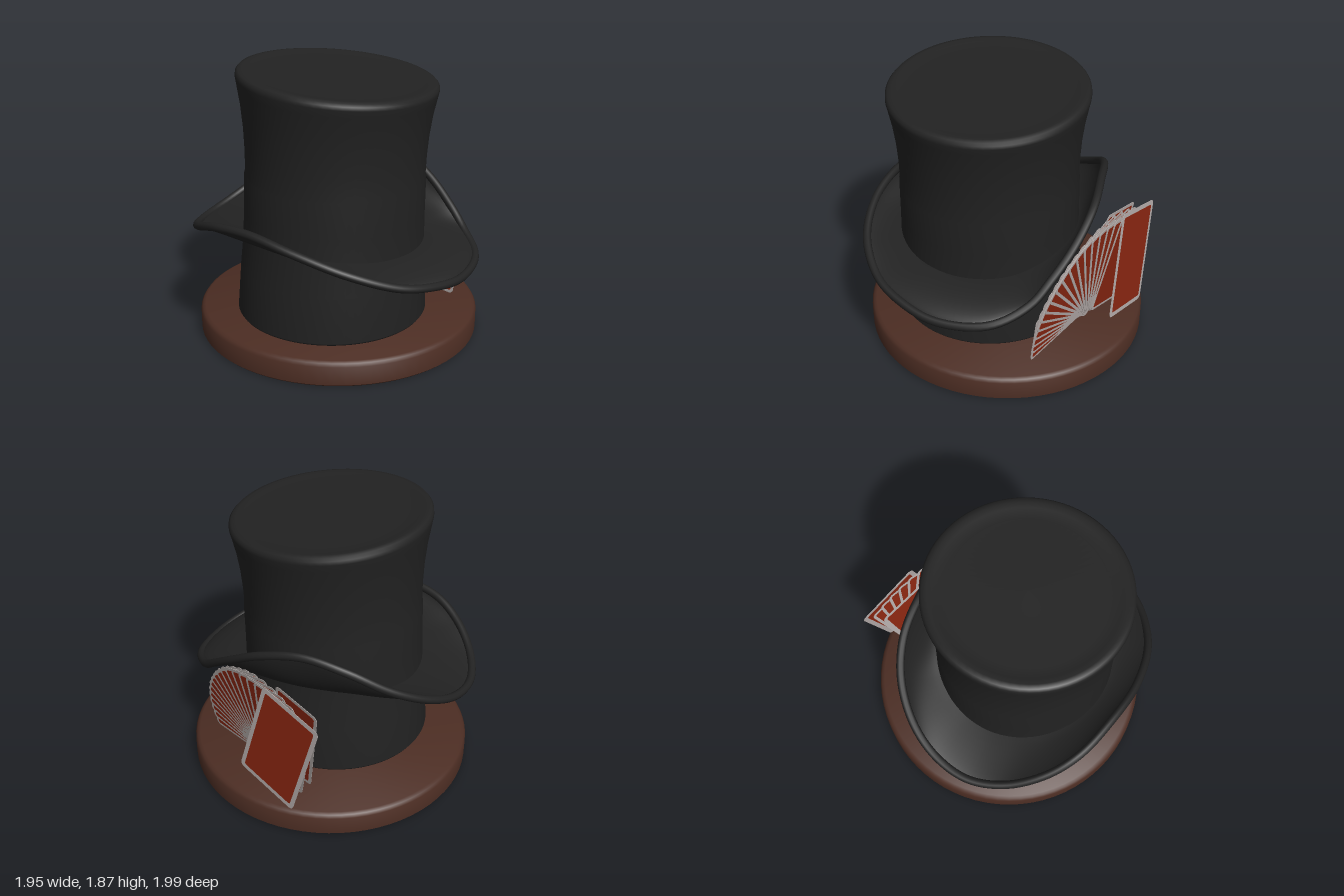
import * as THREE from 'three';
import { toCreasedNormals } from 'three/addons/utils/BufferGeometryUtils.js';

const mat = (name, color, extra = {}) => {
  const m = new THREE.MeshStandardMaterial({ color, ...extra });
  m.name = name;
  return m;
};
const felt = mat('black felt', 0x222222);
const brimFelt = mat('black brim felt', 0x222222, { side: THREE.DoubleSide });
const wood = mat('brown wood', 0x4c2d23);
const cardRed = mat('card red', 0x8a2611);
const cardWhite = mat('card white', 0xb5adab);
const ovalBrown = mat('dark oval', 0x35221c);

function add(parent, name, geometry, material) {
  const mesh = new THREE.Mesh(geometry, material);
  mesh.name = name;
  parent.add(mesh);
  return mesh;
}

const lathe = (pts, segments) =>
  new THREE.LatheGeometry(pts.map(([r, y]) => new THREE.Vector2(r, y)), segments);

// Crown: turned profile, drifting sideways and ending in a tilted top
function crownGeometry() {
  const geo = lathe([
    [0, 0.175], [0.64, 0.175], [0.65, 0.19], [0.632, 0.5], [0.615, 0.7], [0.61, 0.9],
    [0.607, 1.14], [0.601, 1.16], [0.603, 1.3], [0.612, 1.45], [0.63, 1.6], [0.652, 1.72],
    [0.662, 1.77], [0.66, 1.795], [0.645, 1.812], [0.615, 1.818], [0.58, 1.81], [0.5, 1.803], [0, 1.803],
  ], 72);
  const p = geo.attributes.position;
  for (let i = 0; i < p.count; i++) {
    const x = p.getX(i), y = p.getY(i), z = p.getZ(i);
    const k = (y - 0.18) / 1.62;
    const tilt = Math.pow(Math.max(k, 0), 3);
    p.setXYZ(i, x - 0.09 + 0.03 * k, y - tilt * (0.055 * x + 0.065 * z), z + 0.04 + 0.03 * k);
  }
  // keep the lathe's seam smooth by merging normals of its first and last columns
  geo.computeVertexNormals();
  const n = geo.attributes.normal, rows = 19, last = p.count - rows;
  for (let j = 0; j < rows; j++) {
    const v = new THREE.Vector3().fromBufferAttribute(n, j)
      .add(new THREE.Vector3().fromBufferAttribute(n, last + j)).normalize();
    n.setXYZ(j, v.x, v.y, v.z);
    n.setXYZ(last + j, v.x, v.y, v.z);
  }
  return geo;
}

// Centre line of the rolled brim edge
const rimCurve = new THREE.CatmullRomCurve3([
  [0.76, 0.69, 0.38], [0.68, 0.61, 0.64], [0.42, 0.585, 0.86], [0.15, 0.615, 0.945],
  [-0.1, 0.665, 0.955], [-0.4, 0.77, 0.85], [-0.65, 0.87, 0.62], [-0.82, 0.925, 0.33],
  [-0.93, 0.9, 0.05], [-0.945, 0.82, -0.2], [-0.87, 0.73, -0.47], [-0.72, 0.695, -0.68],
  [-0.5, 0.73, -0.81], [-0.25, 0.83, -0.86], [0.02, 0.97, -0.82], [0.25, 1.11, -0.69],
  [0.45, 1.165, -0.48], [0.63, 1.1, -0.25], [0.725, 0.96, -0.02], [0.76, 0.81, 0.2],
].map((q) => new THREE.Vector3(...q)), true);

// Brim: sheet sweeping from the crown out and up to the rim
function brimGeometry(N = 120, M = 10) {
  const pos = [], idx = [], cx = -0.075, cz = 0.055;
  for (let i = 0; i < N; i++) {
    const e = rimCurve.getPoint(i / N);
    const a = Math.atan2(e.z - cz, e.x - cx);
    const ix = cx + 0.595 * Math.cos(a), iz = cz + 0.595 * Math.sin(a);
    const iy = 0.75 + 0.2 * (e.y - 0.8);
    for (let j = 0; j <= M; j++) {
      const t = j / M, s = 1 - Math.pow(1 - t, 1.5);
      pos.push(ix + (e.x - ix) * s, iy + (e.y - iy) * Math.pow(t, 1.5), iz + (e.z - iz) * s);
      if (j < M) {
        const b = i * (M + 1) + j, c = ((i + 1) % N) * (M + 1) + j;
        idx.push(b, c, b + 1, c, c + 1, b + 1);
      }
    }
  }
  const geo = new THREE.BufferGeometry();
  geo.setAttribute('position', new THREE.Float32BufferAttribute(pos, 3));
  geo.setIndex(idx);
  geo.computeVertexNormals();
  return geo;
}

// Rounded rectangle plate centred on the origin
function plate(w, h, r, depth) {
  const s = new THREE.Shape(), x = w / 2, y = h / 2;
  s.absarc(x - r, y - r, r, 0, Math.PI / 2);
  s.absarc(-x + r, y - r, r, Math.PI / 2, Math.PI);
  s.absarc(-x + r, -y + r, r, Math.PI, Math.PI * 1.5);
  s.absarc(x - r, -y + r, r, Math.PI * 1.5, Math.PI * 2);
  return new THREE.ExtrudeGeometry(s, { depth, bevelEnabled: false, curveSegments: 5 })
    .translate(0, 0, -depth / 2);
}

// Card: white board with a red panel on both faces, optional dark oval on the back
function makeCard(name, w, h, border, oval) {
  const card = new THREE.Group();
  card.name = name;
  add(card, 'cardBoard', plate(w, h, 0.035, 0.003), cardWhite);
  add(card, 'cardPanel', plate(w - 2 * border, h - 2 * border, 0.015, 0.0042), cardRed);
  if (oval) {
    const o = add(card, 'cardOval', new THREE.CircleGeometry(1, 28), ovalBrown);
    o.scale.set(w * 0.25, h * 0.26, 1);
    o.rotation.y = Math.PI;
    o.position.z = -0.003;
  }
  return card;
}

function makeFan() {
  const fan = new THREE.Group();
  fan.name = 'cardFan';
  fan.rotation.order = 'YXZ';
  fan.rotation.set(0.12, Math.PI / 2 + 0.27, 0);
  fan.position.set(0.56, 0.22, -0.27);
  fan.scale.x = 1.04;
  const count = 18, w = 0.36, h = 0.72;
  const place = (card, deg, z) => {
    // each card's near long edge runs out from the pivot at this angle
    const a = Math.PI - THREE.MathUtils.degToRad(deg);
    const tip = 0.6 + 0.16 * Math.min(deg / 70, 1);
    const along = tip - h / 2, across = w / 2 - 0.04;
    card.position.set(
      Math.cos(a) * along + Math.sin(a) * across,
      Math.sin(a) * along - Math.cos(a) * across, z);
    card.rotation.z = a - Math.PI / 2;
    fan.add(card);
  };
  for (let i = 0; i < count; i++) {
    place(makeCard('fanCard', w, h, 0.02, false), (105 * i) / (count - 1), i * 0.0045);
  }
  place(makeCard('backCard', w, h, 0.025, true), 102, -0.006);
  return fan;
}

export function createModel() {
  const model = new THREE.Group();
  model.name = 'topHatWithCards';

  // Round wooden stand
  const base = add(model, 'base', toCreasedNormals(lathe([
    [0, 0], [0.955, 0], [0.968, 0.012], [0.968, 0.14], [0.955, 0.16], [0.935, 0.17], [0, 0.17],
  ], 72), 0.6), wood);
  base.position.z = -0.035;

  // Hat
  const hat = new THREE.Group();
  hat.name = 'hat';
  add(hat, 'crown', crownGeometry(), felt);
  add(hat, 'brim', brimGeometry(), brimFelt);
  add(hat, 'brimRim', new THREE.TubeGeometry(rimCurve, 140, 0.028, 10, true), felt);
  model.add(hat);

  // Fan of cards leaning on the brim, and one loose card in front of it
  model.add(makeFan());
  const card = makeCard('looseCard', 0.485, 0.745, 0.032, true);
  card.rotation.order = 'YXZ';
  card.rotation.set(-0.06, Math.PI / 2 + 0.35, -0.27);
  card.position.set(0.69, 0.595, -0.58);
  model.add(card);
  return model;
}
